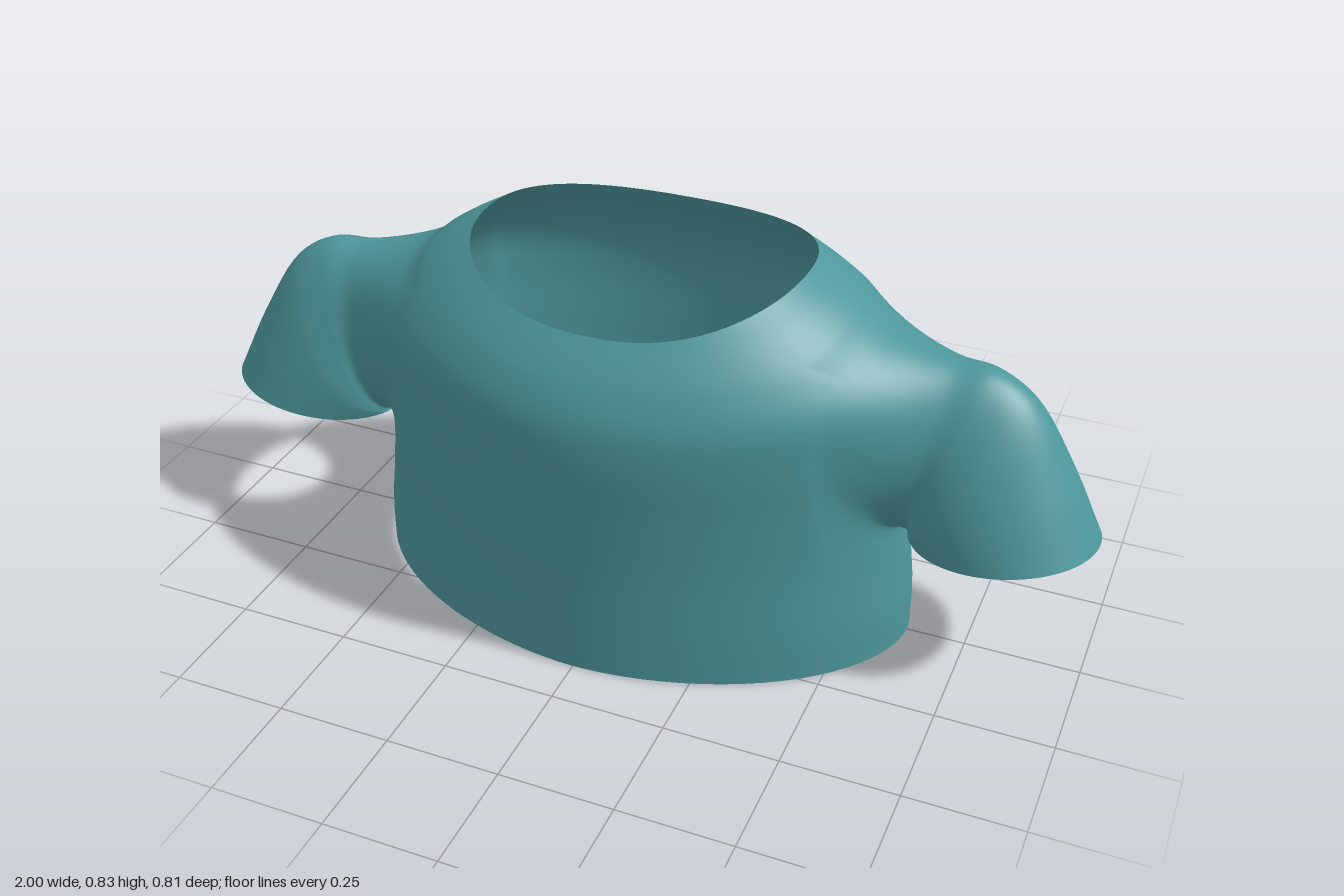
import * as THREE from 'three';
import { mergeGeometries, mergeVertices } from 'three/addons/utils/BufferGeometryUtils.js';

const M = 40;            // rows from hem to neck
const H = 0.95;          // half angle of each side panel
const profile = (pts) => new THREE.CatmullRomCurve3(pts.map(([r, y]) => new THREE.Vector3(r, y, 0)));

// Torso outlines from hem to neck: [distance from axis, height]
const side = profile([[.622, 0], [.62, .1], [.603, .25], [.60, .4], [.60, .53], [.59, .64], [.525, .723], [.435, .792], [.36, .835]]);
const front = profile([[.395, 0], [.395, .1], [.395, .25], [.40, .4], [.405, .53], [.395, .61], [.365, .675], [.335, .715], [.297, .757]]);
const back = profile([[.40, 0], [.40, .1], [.40, .25], [.403, .4], [.405, .53], [.392, .61], [.362, .68], [.32, .74], [.26, .81]]);

// Point on the torso at an angle round the body and a height fraction v;
// the section is slim at the hem and fuller at the neck
function torso(angle, v) {
  const c = Math.cos(angle), s = Math.sin(angle), e = 2 / (1.82 + .48 * v ** 3);
  const a = side.getPoint(v), b = (s > 0 ? front : back).getPoint(v);
  return new THREE.Vector3(
    Math.sign(c) * Math.abs(c) ** e * a.x,
    a.y * c * c + b.y * s * s,
    Math.sign(s) * Math.abs(s) ** e * b.x);
}

// Sleeve rings: [top x, top y, bottom x, bottom y, half width, taper to the top]
const rings = [
  [.665, .694, .612, .289, .138, .05],
  [.75, .69, .614, .289, .143, .25],
  [.835, .64, .613, .289, .154, .27],
  [.925, .5, .611, .29, .168, .14],
  [1.0, .345, .61, .29, .18, 0],
];

function ringPoint([tx, ty, bx, by, w, taper], c, s, k) {
  return new THREE.Vector3(
    (tx + bx) / 2 + c * (tx - bx) / 2,
    (ty + by) / 2 + c * (ty - by) / 2 + s * .012 * k,
    s * w * (1 - taper * c) + .012 * k);
}

// Grid surface from rows of points
function gridGeometry(rows, flip = false) {
  const n = rows[0].length, index = [];
  for (let i = 0; i < rows.length - 1; i++) {
    for (let j = 0; j < n - 1; j++) {
      const a = i * n + j, b = a + n, c = b + 1, d = a + 1;
      if (flip) index.push(a, c, b, a, d, c);
      else index.push(a, b, c, a, c, d);
    }
  }
  const g = new THREE.BufferGeometry().setFromPoints(rows.flat());
  g.setIndex(index);
  return g;
}

// Front or back panel between the side panels
function panel(start) {
  const rows = [];
  for (let i = 0; i <= M; i++) {
    const row = [];
    for (let j = 0; j <= 64; j++) row.push(torso(start + H + (Math.PI - 2 * H) * j / 64, i / M));
    rows.push(row);
  }
  return gridGeometry(rows);
}

// Side panel with an armhole that runs on into the sleeve
function sidePanel(mirror) {
  const columns = [];
  for (let k = 0; k <= 4 * M; k++) {
    const t = (k % M) / M * 2 - 1;
    const [p, q] = [[1, t], [-t, 1], [-1, -t], [t, -1]][Math.floor(k / M) % 4];
    const len = Math.hypot(p, q), s = p / len, c = q / len;
    const column = [];
    // Torso from the panel border in towards the armhole
    const onTorso = (f) => torso(
      THREE.MathUtils.lerp(p * H, s * .6, f),
      THREE.MathUtils.lerp(.5 + q * .5, .53 + c * .245, f));
    for (let i = 0; i < 10; i++) column.push(onTorso(i / 10 * .7));
    // Blend over the armhole and along the sleeve to the cuff
    const path = new THREE.CatmullRomCurve3(
      [onTorso(.7), onTorso(1), ...rings.map((r, i) => ringPoint(r, c, s, i / 4))]);
    for (let i = 0; i <= 36; i++) column.push(path.getPoint(i / 36));
    columns.push(column);
  }
  const rows = columns[0].map((_, i) => columns.map((col) => col[i]));
  if (mirror) rows.flat().forEach((pt) => { pt.x *= -1; });
  return gridGeometry(rows, mirror);
}

export function createModel() {
  const group = new THREE.Group();
  group.name = 'shortSleevedShirt';
  // Panels are welded so the shading runs smoothly from torso to sleeves
  const geometry = mergeVertices(
    mergeGeometries([panel(0), panel(Math.PI), sidePanel(false), sidePanel(true)]), 1e-4);
  geometry.computeVertexNormals();
  const shirt = new THREE.Mesh(geometry, new THREE.MeshStandardMaterial({ color: 0x4d979c, side: THREE.DoubleSide }));
  shirt.name = 'shirt';
  group.add(shirt);
  return group;
}
